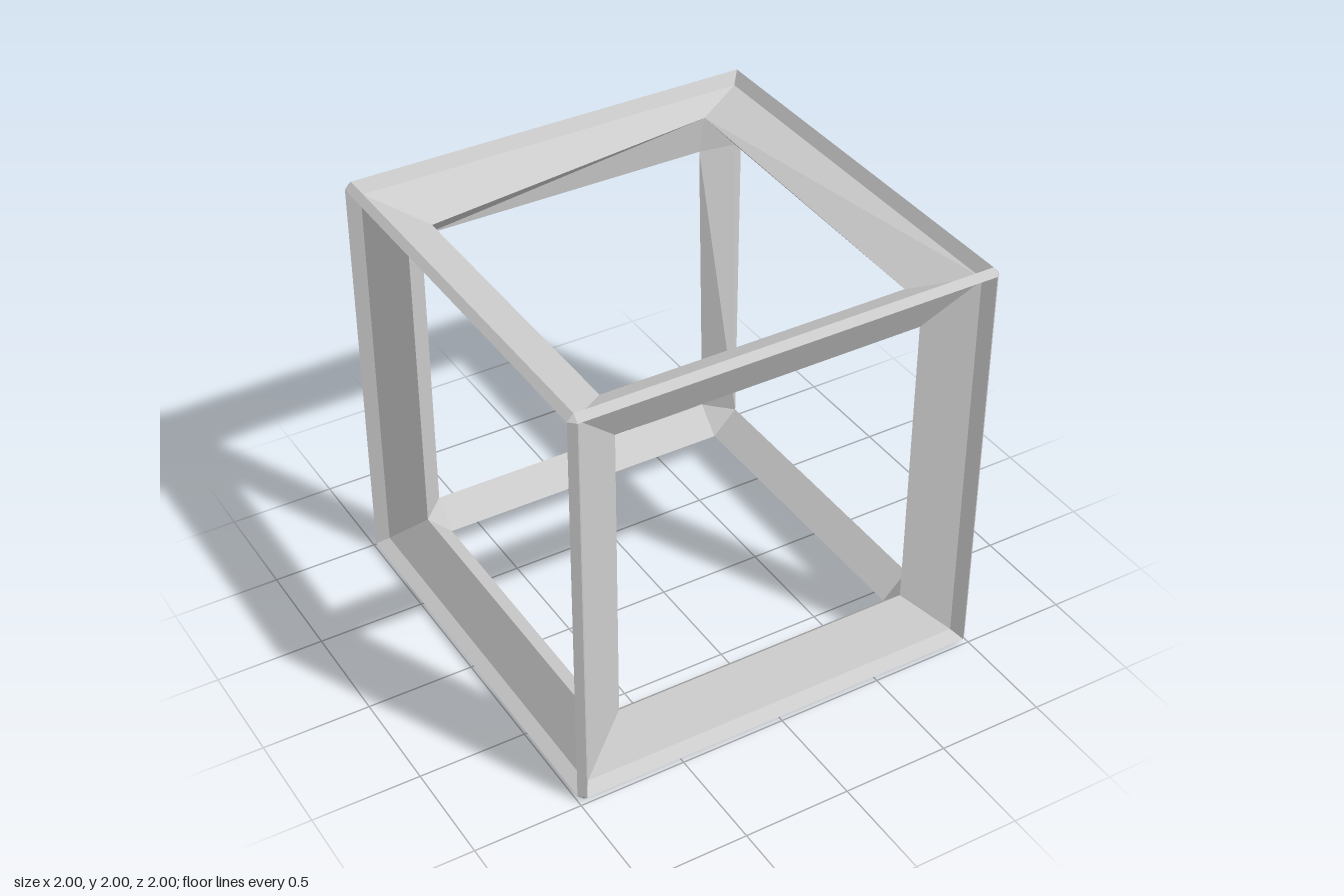
import * as THREE from 'three';

// Section levels of the wedge-shaped struts: [in-plane, along face normal]
const LEVELS = [[0.97, 1], [0.935, 0.945], [0.72, 0.838]];
const RIM = 0, KINK = 1, TIP = 2;

// Inner joint of the one skewed corner (+x, +y, -z), one point per face axis
const SKEWED = [[0.87, 0.71, -0.82], [0.712, 0.89, -0.83], [0.697, 0.708, -0.85]];

export function createModel() {
  const group = new THREE.Group();
  const mat = new THREE.MeshStandardMaterial({ color: 0xcccccc, flatShading: true, side: THREE.DoubleSide });

  // Point belonging to one cube face (axis) at one corner (signs) and level
  function point(axis, signs, level) {
    if (level === TIP && signs[0] > 0 && signs[1] > 0 && signs[2] < 0) {
      return new THREE.Vector3(...SKEWED[axis]);
    }
    const [a, b] = LEVELS[level];
    return new THREE.Vector3(...signs.map((s, i) => s * (i === axis ? b : a)));
  }

  // Add a polygon as a triangle fan, wound so that it faces dir
  function polygon(out, pts, dir) {
    const n = new THREE.Vector3().subVectors(pts[1], pts[0])
      .cross(new THREE.Vector3().subVectors(pts[2], pts[0]));
    if (n.dot(dir) < 0) pts = [...pts].reverse();
    for (let i = 1; i < pts.length - 1; i++) {
      for (const p of [pts[0], pts[i], pts[i + 1]]) out.push(p.x, p.y, p.z);
    }
  }

  function addMesh(name, out) {
    const geo = new THREE.BufferGeometry();
    geo.setAttribute('position', new THREE.Float32BufferAttribute(out, 3));
    geo.computeVertexNormals();
    const mesh = new THREE.Mesh(geo, mat);
    mesh.name = name;
    mesh.position.y = 1;
    group.add(mesh);
  }

  const strutSides = [], outerEdges = [], innerEdges = [];

  // Sloping sides of the struts: a square funnel on each of the six faces
  for (let axis = 0; axis < 3; axis++) {
    const u = (axis + 1) % 3, v = (axis + 2) % 3;
    for (const side of [-1, 1]) {
      const ring = [[-1, -1], [1, -1], [1, 1], [-1, 1]].map(([su, sv]) => {
        const s = [0, 0, 0];
        s[axis] = side; s[u] = su; s[v] = sv;
        return s;
      });
      const dir = new THREE.Vector3().setComponent(axis, side);
      for (let i = 0; i < 4; i++) {
        const c = ring[i], d = ring[(i + 1) % 4];
        for (const l of [RIM, KINK]) {
          polygon(strutSides, [point(axis, c, l), point(axis, d, l),
            point(axis, d, l + 1), point(axis, c, l + 1)], dir);
        }
      }
    }
  }

  // Narrow outer and broad inner edge strips along the twelve struts
  for (let axis = 0; axis < 3; axis++) {
    const u = (axis + 1) % 3, v = (axis + 2) % 3;
    for (const su of [-1, 1]) for (const sv of [-1, 1]) {
      const c = [0, 0, 0];
      c[u] = su; c[v] = sv;
      const d = [...c];
      c[axis] = -1; d[axis] = 1;
      const dir = new THREE.Vector3().setComponent(u, su).setComponent(v, sv);
      const strip = l => [point(u, c, l), point(u, d, l), point(v, d, l), point(v, c, l)];
      polygon(outerEdges, strip(RIM), dir);
      polygon(innerEdges, strip(TIP), dir.clone().negate());
    }
  }

  // Small triangles closing the eight corners, outside and inside
  for (const x of [-1, 1]) for (const y of [-1, 1]) for (const z of [-1, 1]) {
    const dir = new THREE.Vector3(x, y, z);
    const tri = l => [0, 1, 2].map(a => point(a, [x, y, z], l));
    polygon(outerEdges, tri(RIM), dir);
    polygon(innerEdges, tri(TIP), dir.clone().negate());
  }

  addMesh('strutSides', strutSides);
  addMesh('outerEdges', outerEdges);
  addMesh('innerEdges', innerEdges);

  return group;
}
